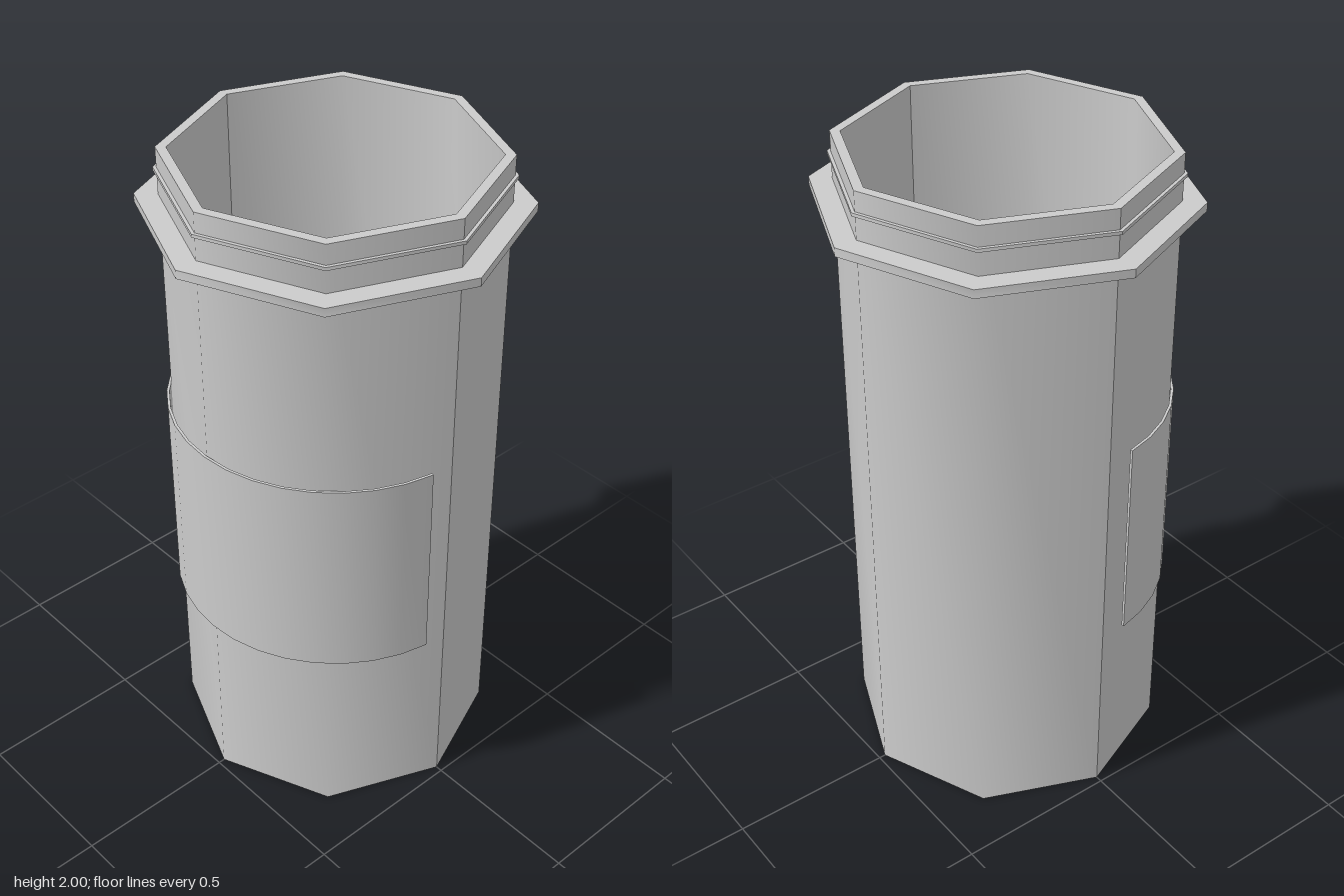
import * as THREE from 'three';
import { toCreasedNormals, mergeGeometries } from 'three/addons/utils/BufferGeometryUtils.js';

const material = new THREE.MeshStandardMaterial({ color: 0xcccccc });
const SIDES = 8;
const CREASE = THREE.MathUtils.degToRad(60);

// Octagonal ring with a rectangular section, smooth around each half and creased at +x and -x
function octagonRing(name, inner, outer, bottom, top) {
  const profile = [[inner, bottom], [outer, bottom], [outer, top], [inner, top], [inner, bottom]]
    .map(([r, y]) => new THREE.Vector2(r, y));
  const halves = [-Math.PI / 2, Math.PI / 2].map((start) =>
    toCreasedNormals(new THREE.LatheGeometry(profile, SIDES / 2, start, Math.PI), CREASE));
  const mesh = new THREE.Mesh(mergeGeometries(halves), material);
  mesh.name = name;
  return mesh;
}

// Thin curved plate wrapped around the front
function curvedLabel(inner, outer, bottom, top, endAngle) {
  const shape = new THREE.Shape();
  shape.absarc(0, 0, outer, endAngle, Math.PI - endAngle, false);
  shape.absarc(0, 0, inner, Math.PI - endAngle, endAngle, true);
  shape.closePath();
  const geometry = new THREE.ExtrudeGeometry(shape, {
    depth: top - bottom, bevelEnabled: false, curveSegments: 8,
  });
  geometry.rotateX(Math.PI / 2).translate(0, top, 0);
  const mesh = new THREE.Mesh(toCreasedNormals(geometry, CREASE), material);
  mesh.name = 'label';
  return mesh;
}

export function createModel() {
  const model = new THREE.Group();
  model.name = 'container';

  // Open tube with the neck details
  model.add(octagonRing('body', 0.45, 0.48, 0, 2));
  model.add(octagonRing('flange', 0.47, 0.547, 1.832, 1.858));
  model.add(octagonRing('neckRing', 0.47, 0.49, 1.93, 1.94));

  // Floor set slightly above the bottom rim
  const floor = new THREE.Mesh(new THREE.CylinderGeometry(0.455, 0.455, 0.02, SIDES), material);
  floor.name = 'floor';
  floor.position.y = 0.07;
  model.add(floor);

  // Front label
  model.add(curvedLabel(0.482, 0.49, 0.59, 1.23, THREE.MathUtils.degToRad(9)));

  return model;
}
